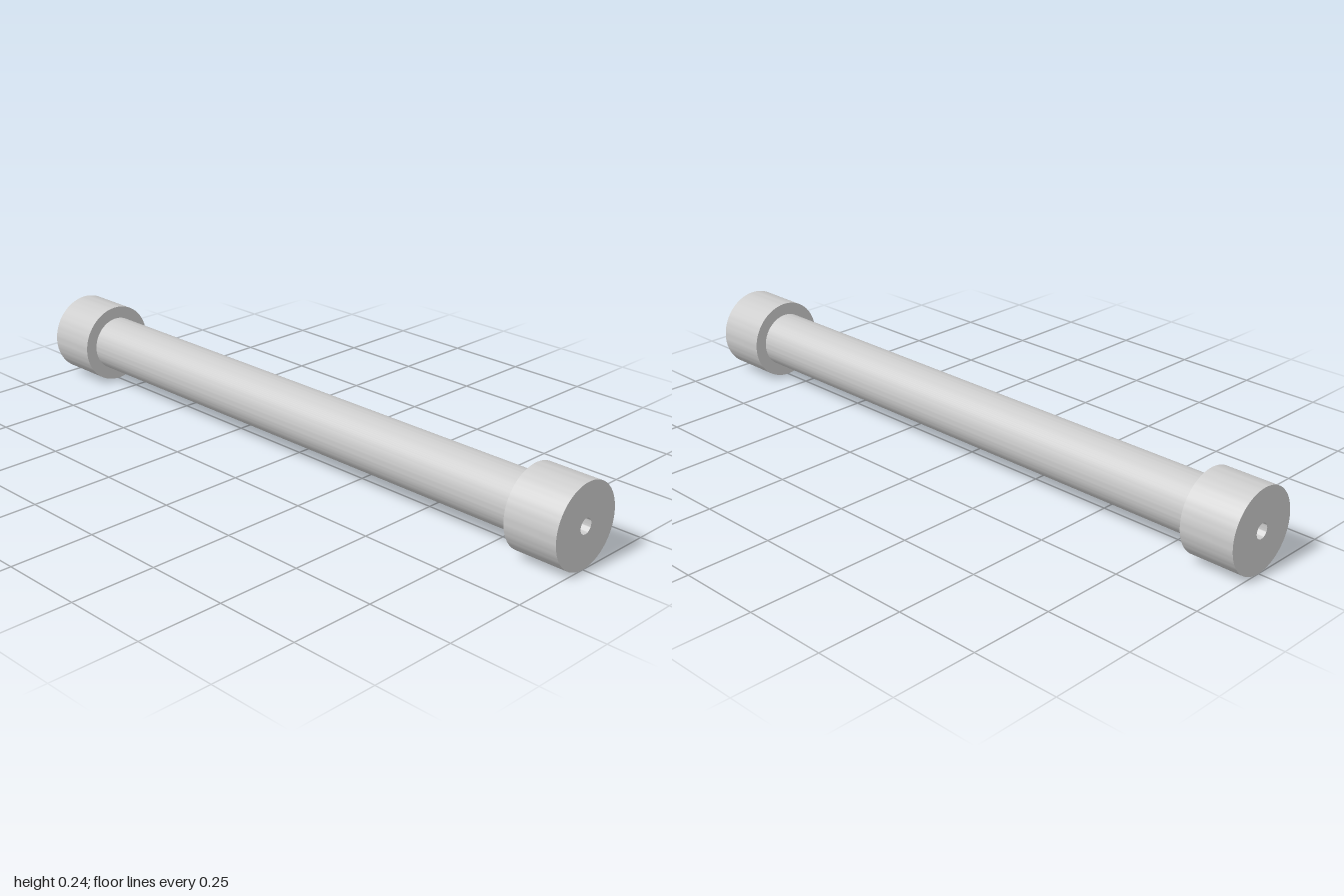
import * as THREE from 'three';
import { toCreasedNormals } from 'three/addons/utils/BufferGeometryUtils.js';

const CAP_R = 0.12, SHAFT_R = 0.083, BORE_R = 0.022;
const END = 1, SHOULDER = 0.84;

const material = new THREE.MeshStandardMaterial({ color: 0xcccccc });

// Turns a [radius, z] profile around the z axis, keeping its corners sharp
function turned(name, profile) {
  const points = profile.map(([r, z]) => new THREE.Vector2(r, z));
  const geometry = new THREE.LatheGeometry(points, 96).rotateX(Math.PI / 2);
  const mesh = new THREE.Mesh(toCreasedNormals(geometry, Math.PI / 6), material);
  mesh.name = name;
  return mesh;
}

export function createModel() {
  const model = new THREE.Group();
  model.name = 'hollowRodWithEndCollars';

  // Long shaft and the bore running through it
  model.add(turned('shaft', [[SHAFT_R, -SHOULDER], [SHAFT_R, SHOULDER]]));
  model.add(turned('bore', [[BORE_R, SHOULDER], [BORE_R, -SHOULDER]]));

  // Thick collar at each end: shoulder, rim, end face and bore mouth
  for (const [name, turn] of [['frontCollar', 0], ['backCollar', Math.PI]]) {
    const collar = turned(name, [
      [SHAFT_R, SHOULDER], [CAP_R, SHOULDER], [CAP_R, END], [BORE_R, END], [BORE_R, SHOULDER],
    ]);
    collar.rotation.y = turn;
    model.add(collar);
  }

  // Rest the collars on the floor
  for (const part of model.children) part.position.y = CAP_R;
  return model;
}
